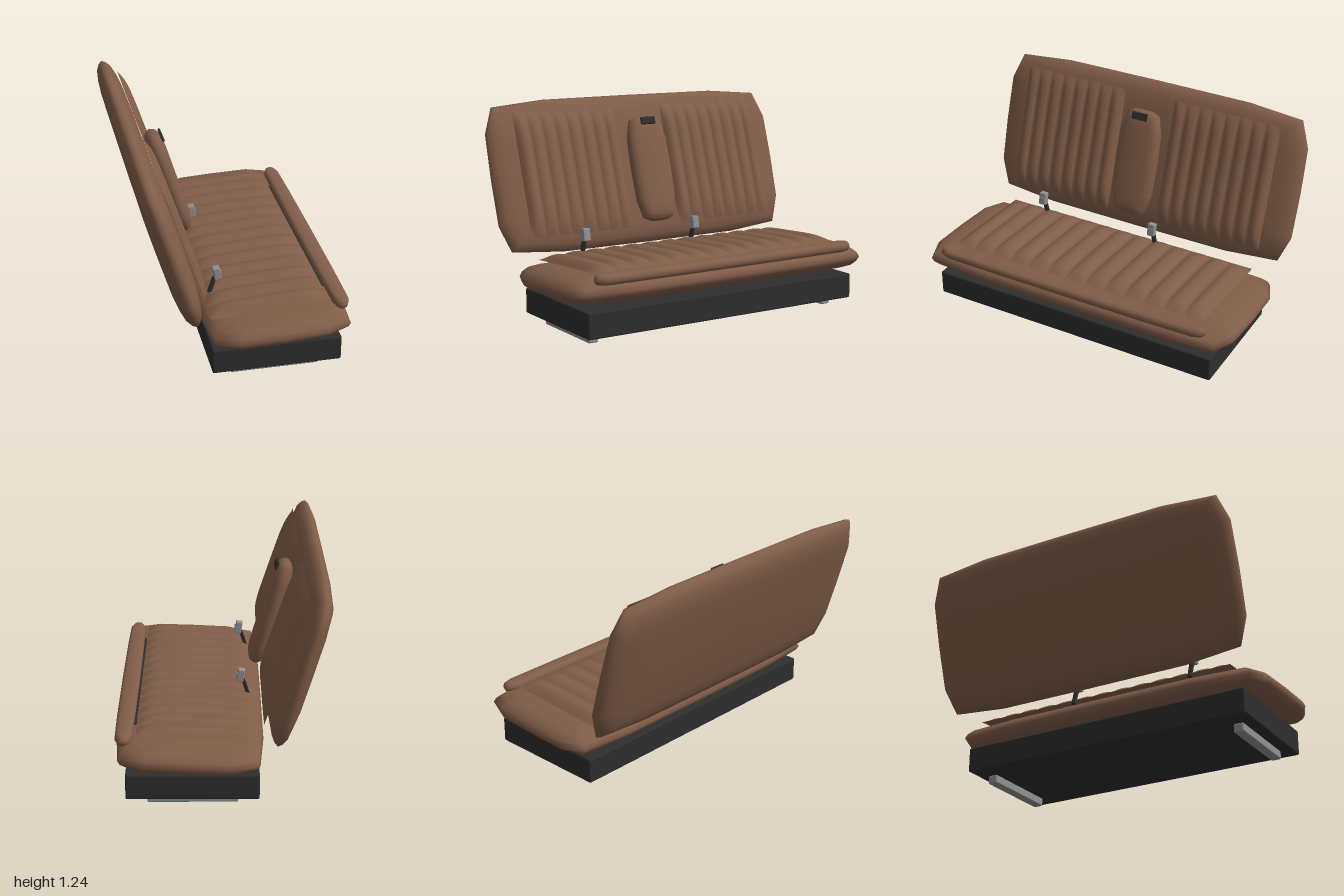
import * as THREE from 'three';
import { RoundedBoxGeometry } from 'three/addons/geometries/RoundedBoxGeometry.js';

const leather = new THREE.MeshStandardMaterial({ color: 0x805d49, side: THREE.DoubleSide });
leather.name = 'brown leather';
const black = new THREE.MeshStandardMaterial({ color: 0x2e2e2e });
black.name = 'black';
const metal = new THREE.MeshStandardMaterial({ color: 0x8f9193 });
metal.name = 'grey metal';

const rad = THREE.MathUtils.degToRad;

// Quarter outlines as [along length, along width], from the length axis to the width axis
const BENCH = [[1, 0], [0.995, 0.6], [0.93, 0.935], [0.59, 0.995], [0, 1]];
const PAD = [[1, 0], [0.99, 0.42], [0.93, 0.75], [0.6, 0.96], [0, 1]];
const ROLL = [[1, 0], [0.97, 0.6], [0.88, 0.93], [0.5, 0.985], [0, 1]];

// Edge rounding as [height, inset], from the middle of the edge to the face
const ROUNDING = [[0, 0], [0.3, 0.012], [0.6, 0.04], [0.8, 0.09], [0.93, 0.16], [0.99, 0.3]];

function add(parent, name, geometry, material, x = 0, y = 0, z = 0, tilt = 0) {
  const mesh = new THREE.Mesh(geometry, material);
  mesh.name = name;
  mesh.position.set(x, y, z);
  mesh.rotation.z = rad(tilt);
  parent.add(mesh);
  return mesh;
}

// Stuffed pad: x = length, y = thickness, z = width (all half sizes)
function stuffedPad(length, thick, width, quarter, insetScale = 1) {
  const q = quarter.slice(0, -1);
  const back = quarter.slice(1).reverse();
  const ring = [
    ...q,
    ...back.map(([l, w]) => [-l, w]),
    ...q.map(([l, w]) => [-l, -w]),
    ...back.map(([l, w]) => [l, -w]),
  ];
  const upper = ROUNDING.slice(1);
  const layers = [
    [-1, null],
    ...upper.map(([t, s]) => [-t, s]).reverse(),
    ...ROUNDING,
    [1, null],
  ];
  const positions = [];
  const index = [];
  const n = ring.length;
  layers.forEach(([t, inset], i) => {
    for (const [l, w] of ring) {
      const s = inset === null ? 0 : inset * insetScale;
      const on = inset === null ? 0 : 1;
      positions.push(on * l * (length - s), t * thick, on * w * (width - s));
    }
    if (i === layers.length - 1) return;
    for (let j = 0; j < n; j++) {
      const a = i * n + j, b = i * n + (j + 1) % n;
      if (i > 0) index.push(a, a + n, b);
      if (i < layers.length - 2) index.push(b, a + n, b + n);
      else if (i === 0) index.push(b, a + n, b + n);
    }
  });
  const g = new THREE.BufferGeometry();
  g.setAttribute('position', new THREE.Float32BufferAttribute(positions, 3));
  g.setIndex(index);
  g.computeVertexNormals();
  return g;
}

// Ribbed insert: a sheet raised into rounded pleats that run along x
function pleatedPanel(length, width, pleats, depth) {
  const g = new THREE.PlaneGeometry(length, width, 24, pleats * 8);
  g.rotateX(-Math.PI / 2);
  const p = g.attributes.position;
  for (let i = 0; i < p.count; i++) {
    const u = 2 * p.getX(i) / length;
    const v = p.getZ(i) / width + 0.5;
    const crown = Math.max(0, 1 - Math.abs(u) ** 6);
    const edge = Math.max(0, 1 - Math.abs(2 * v - 1) ** 24);
    const rib = Math.abs(Math.sin(Math.PI * v * pleats)) ** 0.7;
    p.setY(i, depth * crown * edge * (0.45 + 0.55 * rib));
  }
  g.computeVertexNormals();
  return g;
}

export function createModel() {
  const model = new THREE.Group();
  model.name = 'benchSeat';

  // Base and floor runners
  add(model, 'base', new RoundedBoxGeometry(0.73, 0.147, 1.8, 2, 0.01), black, 0.16, 0.1285);
  for (const z of [-0.805, 0.805]) {
    add(model, 'runner', new RoundedBoxGeometry(0.5, 0.05, 0.06, 2, 0.008), metal, 0.16, 0.028, z);
  }

  // Seat cushion with its pleated insert, front roll and dark seam
  add(model, 'seatCushion', stuffedPad(0.412, 0.088, 1, BENCH), leather, 0.177, 0.292, 0, 2.5);
  add(model, 'seatInsert', pleatedPanel(0.665, 1.64, 13, 0.047), leather, 0.135, 0.377, 0, 3.45);
  add(model, 'frontRoll', stuffedPad(0.053, 0.031, 0.87, ROLL, 0.15), leather, 0.535, 0.38, 0, -4);
  add(model, 'frontSeam', new THREE.BoxGeometry(0.016, 0.008, 1.27), black, 0.479, 0.378);

  // Backrest, reclined, with two pleated inserts
  add(model, 'backrest', stuffedPad(0.457, 0.074, 1, BENCH), leather, -0.418, 0.801, 0, -73.4);
  for (const z of [-0.502, 0.502]) {
    add(model, 'backInsert', pleatedPanel(0.742, 0.675, 8, 0.036), leather, -0.341, 0.828, z, -71.9);
  }

  // Folding armrest with pull handle
  add(model, 'armrest', stuffedPad(0.322, 0.055, 0.137, PAD, 0.38), leather, -0.285, 0.812, 0, -73);
  add(model, 'armrestHandle', new RoundedBoxGeometry(0.046, 0.015, 0.1, 2, 0.006), black, -0.32, 1.1, 0, -70);

  // Belt buckles on short stalks
  for (const z of [-0.2, 0.555]) {
    const buckle = new THREE.Group();
    buckle.name = 'beltBuckle';
    buckle.position.z = z;
    add(buckle, 'stalk', new THREE.BoxGeometry(0.02, 0.11, 0.02), black, -0.142, 0.41, 0, -18);
    add(buckle, 'buckleHead', new RoundedBoxGeometry(0.04, 0.076, 0.045, 2, 0.006), metal, -0.112, 0.489, 0, 9);
    add(buckle, 'releaseButton', new THREE.BoxGeometry(0.008, 0.018, 0.026), metal, -0.091, 0.494, 0, 9);
    model.add(buckle);
  }

  return model;
}
